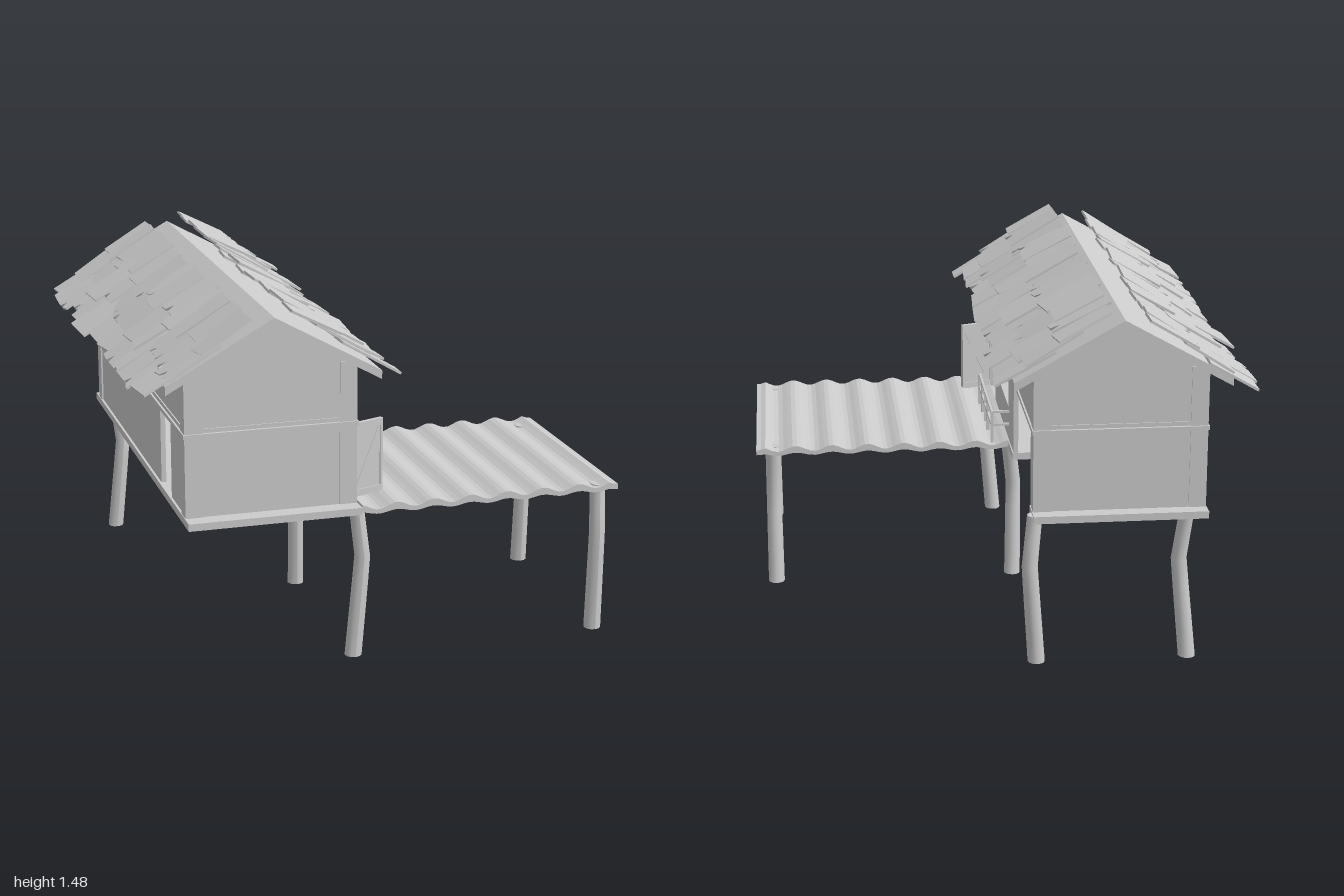
import * as THREE from 'three';

const mat = new THREE.MeshStandardMaterial({ color: 0xcccccc, side: THREE.DoubleSide });
const flat = new THREE.MeshStandardMaterial({ color: 0xcccccc, flatShading: true, side: THREE.DoubleSide });

function add(parent, name, geo, material = flat) {
  const mesh = new THREE.Mesh(geo, material);
  mesh.name = name;
  parent.add(mesh);
  return mesh;
}

// Box given by its limits on each axis
function box(parent, name, x0, x1, y0, y1, z0, z1) {
  const m = add(parent, name, new THREE.BoxGeometry(x1 - x0, y1 - y0, z1 - z0));
  m.position.set((x0 + x1) / 2, (y0 + y1) / 2, (z0 + z1) / 2);
  return m;
}

// Outline in x,y pushed along z
function slab(parent, name, pts, z0, z1, holes = []) {
  const shape = new THREE.Shape(pts.map(p => new THREE.Vector2(...p)));
  holes.forEach(h => shape.holes.push(new THREE.Path(h.map(p => new THREE.Vector2(...p)))));
  const m = add(parent, name, new THREE.ExtrudeGeometry(shape, { depth: z1 - z0, bevelEnabled: false }));
  m.position.z = z0;
  return m;
}

// Thin bar between two points
function bar(parent, name, a, b, r) {
  const A = new THREE.Vector3(...a), B = new THREE.Vector3(...b);
  const m = add(parent, name, new THREE.BoxGeometry(r * 2, A.distanceTo(B), r * 2));
  m.position.copy(A).add(B).multiplyScalar(0.5);
  m.quaternion.setFromUnitVectors(new THREE.Vector3(0, 1, 0), B.sub(A).normalize());
  return m;
}

let seed = 7;
const rnd = (a, b) => {
  seed = (seed * 16807) % 2147483647;
  return a + (b - a) * seed / 2147483647;
};

// Crooked round stilt: bend is the x,z offset at the kink
function stilt(parent, x, z, bx, bz, lean) {
  const h = 0.63;
  const g = new THREE.CylinderGeometry(0.031, 0.035, h, 12, 6);
  const p = g.attributes.position;
  for (let i = 0; i < p.count; i++) {
    const t = p.getY(i) / h + 0.5;
    const k = t < 0.66 ? t / 0.66 : (1 - t) / 0.34;
    p.setX(i, p.getX(i) + bx * k + lean * t);
    p.setZ(i, p.getZ(i) + bz * k);
  }
  g.computeVertexNormals();
  add(parent, 'stilt', g, mat).position.set(x, h / 2, z);
}

// One wooden shingle, sometimes split at its lower end
function shingle(parent, side, x, y, slope, z, w, len) {
  const h = w / 2, e = () => rnd(-0.012, 0.012);
  const pts = [[-h, 0], [h, 0], [h + e(), len + e()]];
  if (rnd(0, 1) < 0.35) {
    const c = rnd(-0.4, 0.4) * w;
    pts.push([c + 0.02, len], [c, len - rnd(0.03, 0.05)], [c - 0.02, len]);
  }
  pts.push([-h + e(), len + e()]);
  const shape = new THREE.Shape(pts.map(p => new THREE.Vector2(...p)));
  const m = add(parent, 'shingle', new THREE.ExtrudeGeometry(shape, { depth: 0.01, bevelEnabled: false }));
  const d = new THREE.Vector3(side * Math.cos(slope), -Math.sin(slope), 0);
  const n = new THREE.Vector3(side * Math.sin(slope), Math.cos(slope), 0);
  const u = d.clone().cross(n);
  m.quaternion.setFromRotationMatrix(new THREE.Matrix4().makeBasis(u, d, n));
  m.rotateZ(rnd(-0.05, 0.05));
  m.rotateY(rnd(-0.05, 0.05));
  m.position.set(x, y, z);
}

export function createModel() {
  const model = new THREE.Group();
  const group = name => {
    const g = new THREE.Group();
    g.name = name;
    model.add(g);
    return g;
  };

  // Stilts
  const stilts = group('stilts');
  [[-0.735, -0.91, 0.03, 0.02, 0.015], [-0.12, -0.91, 0.025, -0.02, 0.01], [-0.125, 0.05, -0.02, 0.035, 0.02],
    [-0.12, 0.89, 0.03, 0, 0.01], [0.92, 0.89, 0, 0.015, 0], [0.92, 0.05, 0, 0.03, 0]]
    .forEach(s => stilt(stilts, ...s));

  // House floor with a notch open to the side, drawn in x,-z and laid flat
  const floor = slab(model, 'floor', [[-0.8, -0.94], [-0.1, -0.94], [-0.1, 0.18], [-0.41, 0.18], [-0.6, 0.55],
    [-0.6, 0.82], [-0.1, 0.82], [-0.1, 0.96], [-0.8, 0.96]], 0, 0.03);
  floor.rotation.x = -Math.PI / 2;
  floor.position.set(0, 0.608, 0);

  // Corrugated deck
  const top = [], under = [];
  for (let i = 0; i <= 56; i++) {
    const x = -0.1 + 1.09 * i / 56;
    const wave = Math.cos((x - 0.2) * Math.PI * 2 / 0.155);
    const drop = x > 0.96 ? 0.012 : 0;
    top.push([x, 0.637 + 0.012 * wave - drop]);
    under.unshift([x, 0.613 + 0.006 * wave - drop * 0.4]);
  }
  slab(model, 'deck', [...top, ...under], -0.03, 0.94);

  // Gable walls
  const walls = group('walls');
  const gable = [[-0.79, 0.63], [-0.11, 0.63], [-0.11, 1.22], [-0.45, 1.4], [-0.79, 1.22]];
  slab(walls, 'frontWall', gable, 0.85, 0.87);
  slab(walls, 'backWall', gable, -0.9, -0.88);

  // Left side wall: doorway, window and the open bay
  const lx0 = -0.125, lx1 = -0.105;
  box(walls, 'upperLeftWall', lx0, lx1, 0.97, 1.23, -0.89, 0.86);
  box(walls, 'leftWallFront', lx0, lx1, 0.63, 0.97, 0.8, 0.86);
  box(walls, 'leftWallBack', lx0, lx1, 0.63, 0.97, -0.89, -0.8);
  box(walls, 'leftWallMiddle', lx0, lx1, 0.63, 0.97, -0.18, 0.03);
  box(walls, 'leftWallSide', lx0, lx1, 0.63, 0.97, 0.49, 0.58);
  box(walls, 'windowSill', lx0, lx1, 0.63, 0.78, 0.03, 0.49);
  box(walls, 'windowHead', lx0, lx1, 0.925, 0.97, 0.03, 0.49);

  // Right side wall with its opening
  box(walls, 'upperRightWall', -0.79, -0.77, 0.97, 1.23, -0.89, 0.86);
  box(walls, 'rightWall', -0.79, -0.77, 0.63, 0.97, -0.89, 0.41);
  box(walls, 'rightWallFront', -0.79, -0.77, 0.63, 0.97, 0.6, 0.86);

  // Corner boards
  for (const x of [-0.797, -0.173])
    for (const z of [-0.905, 0.805])
      box(walls, 'cornerBoard', x, x + 0.07, 0.63, 1.22, z, z + 0.07);

  // Trim band around the house
  const trim = group('trimBand');
  for (const [y0, y1, o] of [[0.962, 0.978, 0.012], [0.98, 0.996, 0.005]]) {
    for (const z of [-0.9, 0.87]) box(trim, 'trimEnd', -0.79 - o, -0.11 + o, y0, y1, z - o, z + o);
    for (const x of [-0.79, -0.11]) box(trim, 'trimSide', x - o, x + o, y0, y1, -0.9, 0.87);
  }

  // Roof boards under the shingles
  slab(model, 'roofBase', [[-0.45, 1.43], [-0.88, 1.19], [-0.88, 1.155], [-0.45, 1.395], [-0.02, 1.155], [-0.02, 1.19]], -0.96, 0.93);

  // Overlapping rows of shingles: side, upper x,y and lower x,y
  const shingles = group('shingles');
  const rows = [[1, -0.19, 1.31, 0.035, 1.18], [1, -0.29, 1.385, -0.06, 1.245], [1, -0.405, 1.465, -0.19, 1.345],
    [-1, -0.78, 1.25, -0.975, 1.135], [-1, -0.67, 1.335, -0.865, 1.21], [-1, -0.54, 1.425, -0.74, 1.3]];
  for (const [side, x0, y0, x1, y1] of rows) {
    const slope = Math.atan2(y0 - y1, Math.abs(x1 - x0));
    const len = Math.hypot(x1 - x0, y1 - y0);
    let z = -0.97;
    while (z < 0.9) {
      const w = Math.min(rnd(0.09, 0.2), 0.97 - z);
      shingle(shingles, side, x0 + rnd(-0.01, 0.01), y0 + rnd(-0.006, 0.006), slope + rnd(-0.04, 0.04),
        z + w / 2, w + 0.008, len * rnd(0.9, 1.08));
      z += w;
    }
  }

  // Open door with frame and diagonal brace
  const door = group('door');
  door.position.set(-0.105, 0, 0.815);
  door.rotation.y = 0.37;
  box(door, 'doorPanel', 0, 0.15, 0.645, 0.945, -0.004, 0.004);
  for (const x of [0, 0.138]) box(door, 'doorStile', x, x + 0.012, 0.642, 0.948, -0.009, 0.009);
  for (const y of [0.642, 0.92]) box(door, 'doorRail', 0, 0.15, y, y + 0.028, -0.009, 0.009);
  bar(door, 'doorBrace', [0.01, 0.66, 0], [0.14, 0.925, 0], 0.006);

  // Railing on the deck
  const railing = group('railing');
  for (const z of [0.55, 0.43, 0.3, 0.17, 0.0])
    bar(railing, 'railingPost', [-0.03, 0.63, z], [-0.03, 0.77, z], 0.006);
  for (const y of [0.71, 0.768]) {
    bar(railing, 'handrail', [-0.03, y, 0.555], [-0.03, y, -0.005], 0.005);
    bar(railing, 'handrailReturn', [-0.03, y, 0], [-0.11, y, 0], 0.005);
  }
  return model;
}
